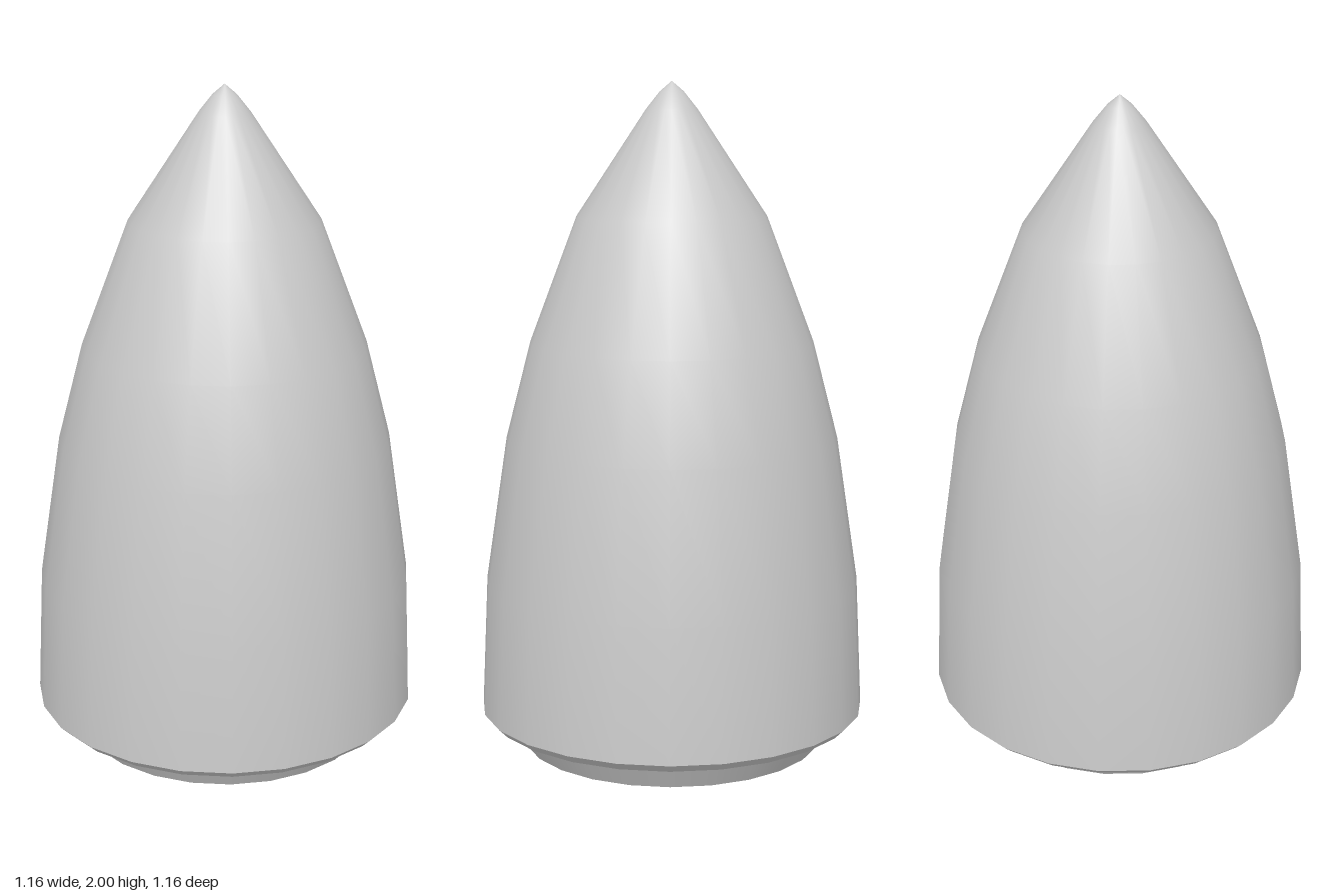
import * as THREE from 'three';

const SIDES = 24;

// Revolves a profile of [radius, height] points, listed from bottom to top on the outside.
function revolve(name, profile) {
  const points = profile.map(([r, y]) => new THREE.Vector2(r, y));
  const material = new THREE.MeshStandardMaterial({ color: 0xcccccc });
  const mesh = new THREE.Mesh(new THREE.LatheGeometry(points, SIDES), material);
  mesh.name = name;
  return mesh;
}

export function createModel() {
  const model = new THREE.Group();
  model.name = 'noseCone';

  // Separate lathes keep the edges between the parts sharp.
  model.add(
    // Pointed shell with a small rounded tip
    revolve('shell', [
      [0.578, 0.13], [0.56, 0.52], [0.495, 0.95], [0.42, 1.24],
      [0.28, 1.61], [0.075, 1.92], [0.035, 1.97], [0, 2],
    ]),
    // Bevelled lower rim and its flat underside
    revolve('rimBevel', [[0.553, 0.105], [0.578, 0.13]]),
    revolve('rimUnderside', [[0.495, 0.105], [0.553, 0.105]]),
    // Tapered plug with a slightly bulging base
    revolve('plugWall', [[0.45, 0.02], [0.495, 0.105]]),
    revolve('plugBase', [[0, 0], [0.22, 0.006], [0.45, 0.02]]),
  );
  return model;
}
